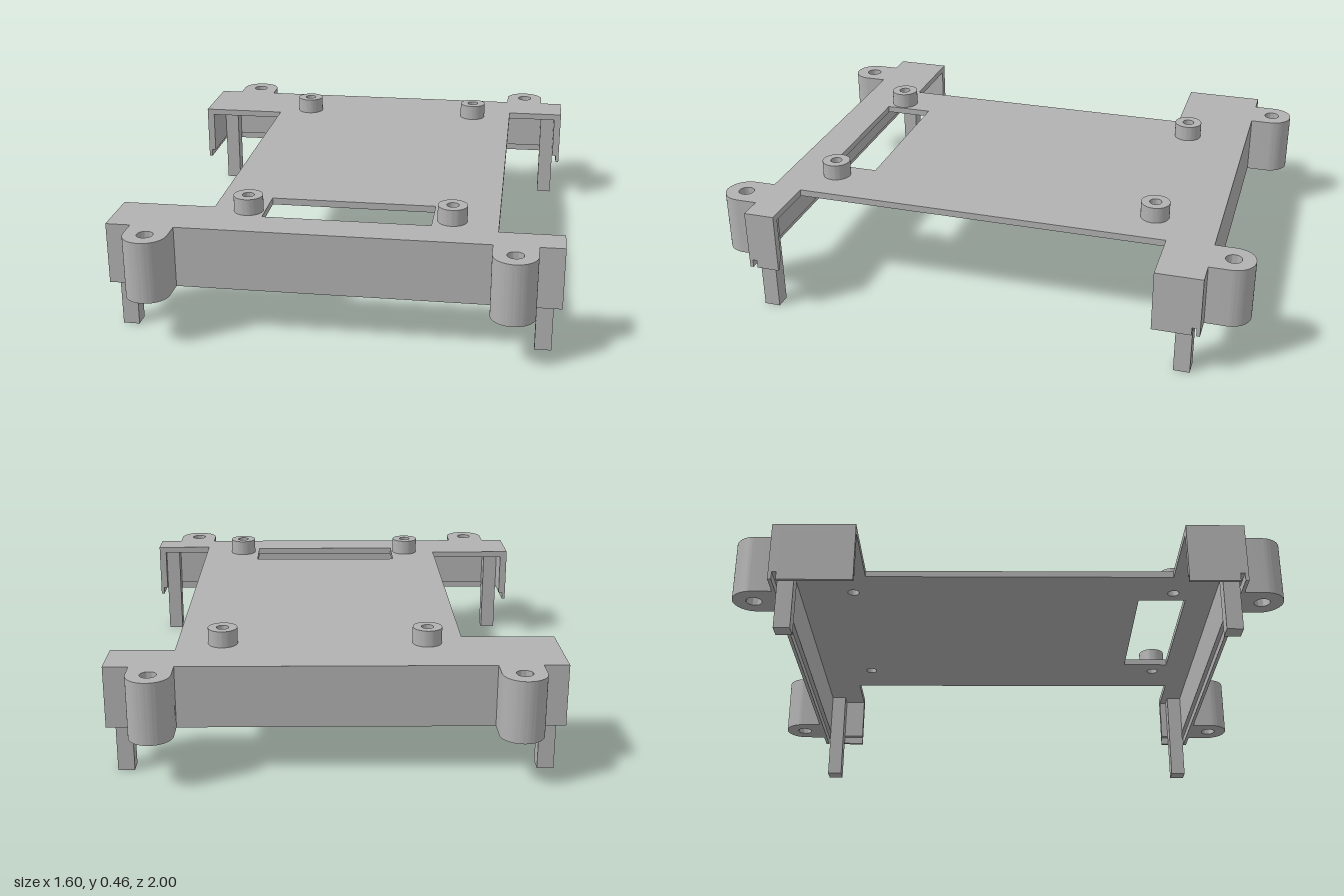
import * as THREE from 'three';
import { toCreasedNormals } from 'three/addons/utils/BufferGeometryUtils.js';

const TOP = 0.4, UNDER = 0.375, RIM = 0.175, STEP = 0.205; // heights
const HX = 0.8, HZ = 0.845, WALL = 0.029, LIP = 0.013;     // half sizes and wall thickness

const polygon = (pts) => new THREE.Shape(pts.map(([x, y]) => new THREE.Vector2(x, y)));

function circle(x, z, r) {
  const path = new THREE.Path();
  path.absarc(x, z, r, 0, Math.PI * 2, true);
  return path;
}

// Extrudes a plan drawn in x, z downward from the given top height
function slab(shape, top, depth) {
  const geo = new THREE.ExtrudeGeometry(shape, { depth, bevelEnabled: false, curveSegments: 24 });
  geo.rotateX(Math.PI / 2).translate(0, top, 0);
  return toCreasedNormals(geo, 0.6);
}

export function createModel() {
  const group = new THREE.Group();
  const grey = new THREE.MeshStandardMaterial({ color: 0xb2b2b2 });
  grey.name = 'grey plastic';
  const add = (name, geo) => {
    const mesh = new THREE.Mesh(geo, grey);
    mesh.name = name;
    group.add(mesh);
    return mesh;
  };

  const standoffs = [[-0.33, -0.605], [0.405, -0.605], [-0.33, 0.65], [0.405, 0.65]];

  // Deck plate with cable opening and screw holes
  const deck = polygon([
    [-HX, -HZ], [HX, -HZ], [HX, -0.675], [0.57, -0.675], [0.57, 0.73], [HX, 0.73],
    [HX, HZ], [-HX, HZ], [-HX, 0.635], [-0.46, 0.635], [-0.46, -0.545], [-HX, -0.545],
  ]);
  deck.holes.push(new THREE.Path(
    [[-0.27, 0.52], [-0.27, 0.705], [0.335, 0.705], [0.335, 0.52]].map(([x, z]) => new THREE.Vector2(x, z))));
  standoffs.forEach(([x, z]) => deck.holes.push(circle(x, z, 0.022)));
  add('deckPlate', slab(deck, TOP, TOP - UNDER));

  // Hollow standoffs
  for (const [x, z] of standoffs) {
    const ring = new THREE.Shape().absarc(x, z, 0.053, 0, Math.PI * 2, false);
    ring.holes.push(circle(x, z, 0.022));
    add('standoff', slab(ring, 0.46, 0.06));
  }

  // Walls with a stepped lower rim, outer face at u = 0
  const profile = polygon([
    [0, RIM], [0, UNDER], [-WALL, UNDER], [-WALL, STEP], [-LIP, STEP], [-LIP, RIM],
  ]);
  const wall = (name, length, angle, x, z) => {
    const geo = new THREE.ExtrudeGeometry(profile, { depth: length, bevelEnabled: false });
    geo.translate(0, 0, -length / 2).rotateY(angle).translate(x, 0, z);
    add(name, geo);
  };
  wall('frontWall', HX * 2, -Math.PI / 2, 0, HZ);
  wall('backWall', HX * 2, Math.PI / 2, 0, -HZ);
  const inner = HZ - WALL;
  for (const [sx, sz, end] of [[1, 1, 0.73], [-1, 1, 0.635], [1, -1, 0.675], [-1, -1, 0.545]]) {
    wall('endWall', inner - end, sx > 0 ? 0 : Math.PI, sx * HX, sz * (inner + end) / 2);

    // Square leg in the inner corner
    const leg = add('leg', new THREE.BoxGeometry(0.059, UNDER, 0.059));
    leg.position.set(sx * 0.7415, UNDER / 2, sz * 0.7865);

    // Rounded screw ear outside the wall
    const r = 0.078;
    const ear = new THREE.Shape();
    ear.moveTo(-r, -0.077);
    ear.lineTo(r, -0.077);
    ear.lineTo(r, 0);
    ear.absarc(0, 0, r, 0, Math.PI, false);
    ear.closePath();
    ear.holes.push(circle(0, 0, 0.029));
    const earMesh = add('screwEar', slab(ear, TOP, TOP - RIM));
    earMesh.position.set(sx * 0.633, 0, sz * 0.922);
    if (sz < 0) earMesh.rotation.y = Math.PI;
  }
  return group;
}
